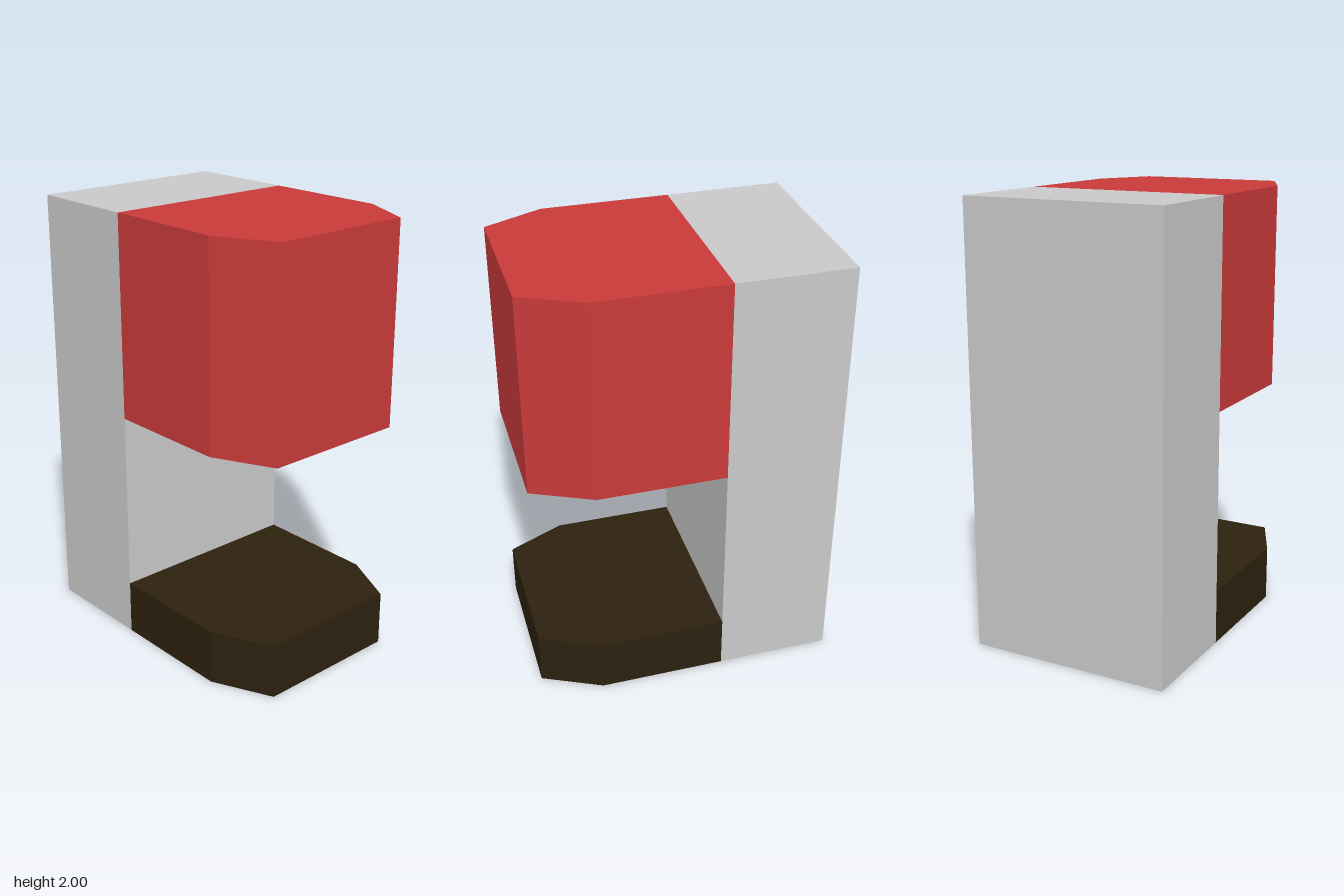
import * as THREE from 'three';

const HALF_WIDTH = 0.465;
const BACK = -0.685;
const JOINT = -0.162;
const FRONT = 0.685;

function material(name, color) {
  const m = new THREE.MeshStandardMaterial({ color });
  m.name = name;
  return m;
}

// Block with chamfered front corners, spanning bottom..top
function chamferedBlock(name, bottom, top, mat) {
  const shape = new THREE.Shape([
    [-HALF_WIDTH, JOINT], [HALF_WIDTH, JOINT], [HALF_WIDTH, 0.417],
    [0.338, FRONT], [-0.338, FRONT], [-HALF_WIDTH, 0.417],
  ].map(([x, z]) => new THREE.Vector2(x, z)));
  const geometry = new THREE.ExtrudeGeometry(shape, { depth: top - bottom, bevelEnabled: false });
  geometry.rotateX(Math.PI / 2); // shape y becomes z, depth runs downwards
  geometry.translate(0, top, 0);
  const mesh = new THREE.Mesh(geometry, mat);
  mesh.name = name;
  return mesh;
}

export function createModel() {
  const model = new THREE.Group();
  model.name = 'dispenser';
  const grey = material('light grey', 0xc9c9c9);
  const red = material('red', 0xc93a3a);
  const brown = material('dark brown', 0x2d210f);

  // Upright back column
  const column = new THREE.Mesh(new THREE.BoxGeometry(HALF_WIDTH * 2, 2, JOINT - BACK), grey);
  column.name = 'backColumn';
  column.position.set(0, 1, (BACK + JOINT) / 2);
  model.add(column);

  // Overhanging head and low base tray
  model.add(chamferedBlock('head', 1.08, 2, red));
  model.add(chamferedBlock('baseTray', 0, 0.252, brown));
  return model;
}
